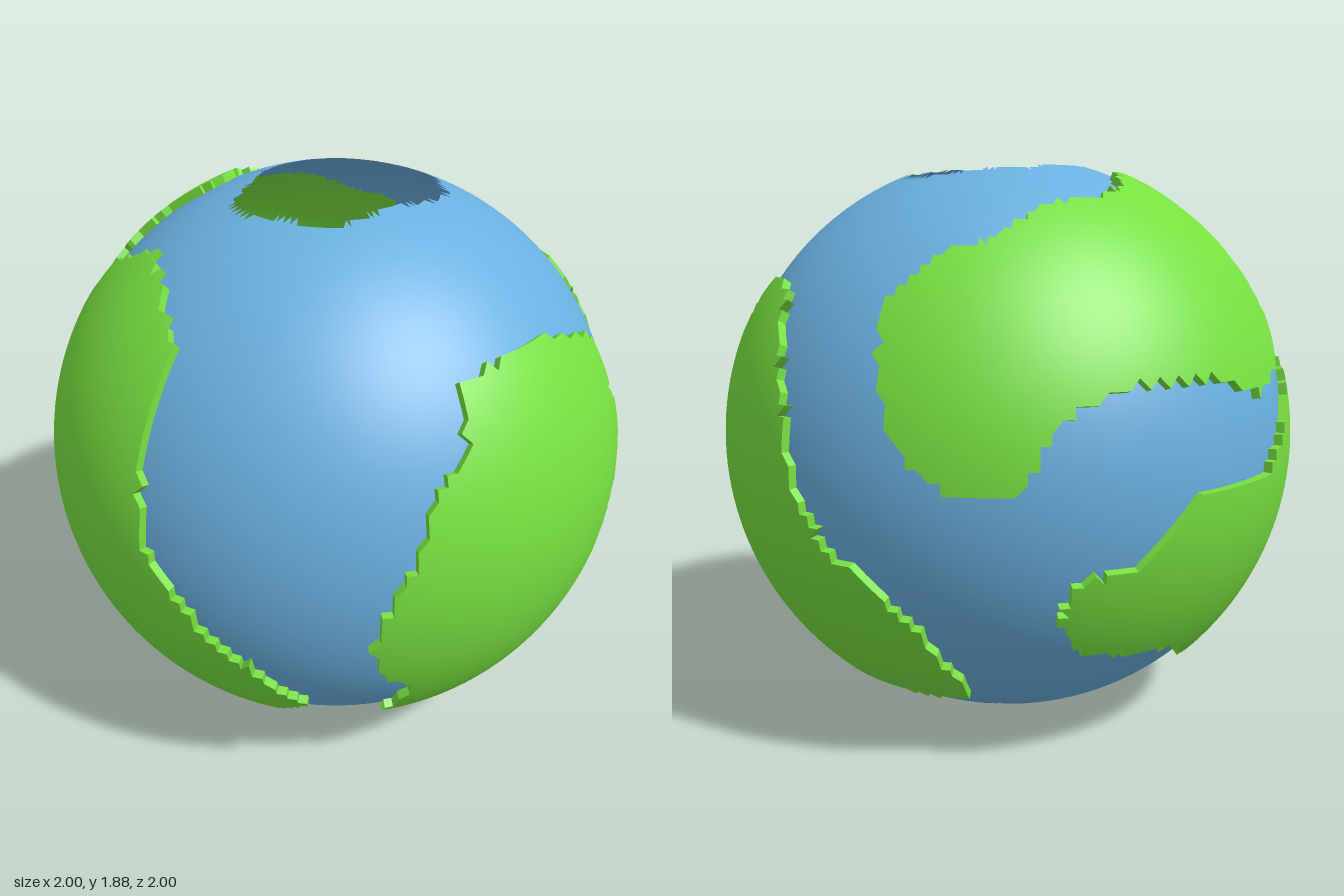
import * as THREE from 'three';

const SEA = 0.972, LAND = 1.0, CENTRE_Y = 0.938;
const RAD = Math.PI / 180;

// Lift flat outline points onto the unit sphere, facing the given direction.
function lift(azimuth, elevation, pairs, cx = 0, cy = 0, scale = 1, flip = 1) {
  const a = azimuth * RAD, e = elevation * RAD;
  const s = new THREE.Vector3(Math.sin(a), 0, Math.cos(a));
  const right = new THREE.Vector3(s.z, 0, -s.x);
  const up = s.clone().multiplyScalar(-Math.sin(e)).setY(Math.cos(e));
  const out = s.clone().multiplyScalar(Math.cos(e)).setY(Math.sin(e));
  return pairs.map(([px, py]) => {
    const u = (px - cx) / scale, v = flip * (py - cy) / scale;
    const w = Math.sqrt(Math.max(0, 1 - u * u - v * v));
    return new THREE.Vector3().addScaledVector(right, u).addScaledVector(up, v)
      .addScaledVector(out, w).normalize();
  });
}
const front = (p) => lift(0, 0, p, 0, 0.94);
const side = (p) => lift(90, 0, p.map(([z, y]) => [-z, y]), 0, 0.94);
const above = (p) => lift(0, 90, p, 0, 0, 1, -1);
const below = (p) => lift(0, -90, p);
const backHigh = (p) => lift(215, 25, p, 686, 671.5, 181, -1);
const backLow = (p) => lift(138, -28, p, 1133, 674, 185, -1);

// Returns a test for directions inside a closed outline on the sphere.
function region(points) {
  const c = points.reduce((sum, p) => sum.add(p), new THREE.Vector3()).normalize();
  const t = new THREE.Vector3(0.31, 0.5, 0.81).cross(c).normalize();
  const b = c.clone().cross(t);
  const flat = (p) => { const k = 1 + p.dot(c); return [p.dot(t) / k, p.dot(b) / k]; };
  const poly = points.map(flat);
  return (p) => {
    if (p.dot(c) < -0.5) return false;
    const [x, y] = flat(p);
    let inside = false;
    for (let i = 0, j = poly.length - 1; i < poly.length; j = i++) {
      const [xi, yi] = poly[i], [xj, yj] = poly[j];
      if ((yi > y) !== (yj > y) && x < ((xj - xi) * (y - yi)) / (yj - yi) + xi) inside = !inside;
    }
    return inside;
  };
}

const continents = {
  frontContinent: region(front([
    [-0.38, 1.54], [-0.2, 1.56], [-0.02, 1.57], [0.1, 1.53], [0.25, 1.48], [0.31, 1.42], [0.31, 1.27],
    [0.38, 1.15], [0.3, 0.96], [0.26, 0.95], [0.18, 0.8], [0.16, 0.67], [0.02, 0.43], [0.04, 0.3],
    [0, 0.14], [-0.12, 0.14], [-0.3, 0.19], [-0.5, 0.28], [-0.55, 0.45], [-0.56, 0.53], [-0.67, 0.62],
    [-0.72, 0.75], [-0.71, 0.9], [-0.63, 1.1], [-0.55, 1.28], [-0.44, 1.37]])),
  leftContinent: region(side([
    [0.47, 1.51], [0.38, 1.51], [0.3, 1.48], [0.22, 1.29], [0.14, 1.1], [0.12, 0.97], [0.05, 0.82],
    [-0.05, 0.7], [-0.14, 0.67], [-0.2, 0.55], [-0.27, 0.48], [-0.28, 0.38], [-0.31, 0.28],
    [-0.27, 0.19], [-0.15, 0.17], [0, 0.18], [0.2, 0.18], [0.45, 0.2], [0.6, 0.24], [0.7, 0.31],
    [0.72, 0.38], [0.72, 0.6], [0.7, 0.8], [0.7, 1.05], [0.63, 1.28], [0.54, 1.43]])),
  upperBackContinent: region([
    ...above([[-0.28, -0.65], [-0.2, -0.58], [-0.18, -0.47], [-0.1, -0.4], [0, -0.43], [0.08, -0.5],
      [0.25, -0.51], [0.4, -0.43], [0.62, -0.36], [0.7, -0.25], [0.83, -0.15]]),
    ...side([[-0.17, 1.35], [-0.2, 1.25], [-0.25, 1.12], [-0.32, 1.02], [-0.43, 0.95], [-0.6, 0.95],
      [-0.64, 1.06], [-0.68, 1.15], [-0.78, 1.23]]),
    ...backLow([[1210, 550]]),
    ...backHigh([[583, 695], [618, 690], [640, 668], [645, 650], [655, 640], [650, 628]])]),
  lowerBackContinent: region([
    ...backLow([[1122, 658], [1130, 635], [1165, 630], [1200, 600]]),
    ...backHigh([[585, 740], [630, 713], [690, 697], [697, 690], [688, 648], [697, 615], [727, 585],
      [760, 588], [795, 600], [808, 625], [825, 665], [835, 700], [852, 742]]),
    ...front([[-0.85, 0.55], [-0.73, 0.4], [-0.67, 0.22]]),
    ...backLow([[1225, 830], [1250, 810], [1262, 795], [1240, 750], [1220, 735], [1205, 708], [1138, 688]])]),
};

// Ragged openings at the two poles
const openings = [
  region(above([[-0.35, -0.1], [-0.3, -0.2], [-0.15, -0.24], [-0.03, -0.29], [0.1, -0.25], [0.22, -0.24],
    [0.3, -0.13], [0.36, -0.05], [0.39, 0.05], [0.36, 0.17], [0.28, 0.23], [0.22, 0.3], [0.08, 0.32],
    [-0.05, 0.28], [-0.2, 0.24], [-0.28, 0.2], [-0.32, 0.1]])),
  region(below([[0.4, 0.08], [0.42, -0.1], [0.4, -0.24], [0.25, -0.3], [0.05, -0.3], [-0.2, -0.3],
    [-0.34, -0.22], [-0.38, -0.05], [-0.35, 0.12], [-0.25, 0.23], [-0.1, 0.25], [0, 0.26],
    [0.2, 0.22], [0.33, 0.16]])),
];

// Smooth shell of the chosen triangles, with an optional wall down to the sea.
function shell(triangles, verts, radius, walled) {
  const pos = [], nor = [], edges = new Set();
  const put = (p, r, n) => { pos.push(p.x * r, p.y * r, p.z * r); nor.push(n.x, n.y, n.z); };
  for (const t of triangles) {
    t.forEach((id, k) => {
      put(verts[id], radius, verts[id]);
      edges.add(id + '_' + t[(k + 1) % 3]);
    });
  }
  if (walled) {
    for (const edge of edges) {
      const [i, j] = edge.split('_').map(Number);
      if (edges.has(j + '_' + i)) continue;
      const a = verts[i], b = verts[j];
      const n = b.clone().sub(a).cross(a).normalize();
      put(a, SEA, n); put(b, SEA, n); put(b, radius, n);
      put(a, SEA, n); put(b, radius, n); put(a, radius, n);
    }
  }
  const g = new THREE.BufferGeometry();
  g.setAttribute('position', new THREE.Float32BufferAttribute(pos, 3));
  g.setAttribute('normal', new THREE.Float32BufferAttribute(nor, 3));
  return g;
}

export function createModel() {
  const group = new THREE.Group();
  group.name = 'globe';

  // Latitude and longitude grid between the polar openings
  const cols = 180, rows = 76, maxLat = 78;
  const verts = [];
  for (let r = 0; r <= rows; r++) {
    const lat = (-maxLat + (2 * maxLat * r) / rows) * RAD;
    for (let c = 0; c < cols; c++) {
      const lon = (c / cols) * Math.PI * 2;
      verts.push(new THREE.Vector3(Math.cos(lat) * Math.sin(lon), Math.sin(lat), Math.cos(lat) * Math.cos(lon)));
    }
  }

  // Sort every triangle into sea, a continent or an opening
  const parts = { ocean: [] };
  for (const name in continents) parts[name] = [];
  const sort = (t) => {
    const mid = new THREE.Vector3();
    t.forEach((id) => mid.add(verts[id]));
    mid.normalize();
    if (openings.some((inside) => inside(mid))) return;
    const name = Object.keys(continents).find((key) => continents[key](mid)) || 'ocean';
    parts[name].push(t);
  };
  for (let r = 0; r < rows; r++) {
    for (let c = 0; c < cols; c++) {
      const a = r * cols + c, b = r * cols + ((c + 1) % cols), d = a + cols, e = b + cols;
      if ((r + c) % 2) { sort([a, b, e]); sort([a, e, d]); }
      else { sort([a, b, d]); sort([b, e, d]); }
    }
  }

  const blue = new THREE.MeshStandardMaterial({ color: 0x6ab0e0, side: THREE.DoubleSide });
  const green = new THREE.MeshStandardMaterial({ color: 0x77e040, side: THREE.DoubleSide });
  for (const name in parts) {
    const sea = name === 'ocean';
    const mesh = new THREE.Mesh(shell(parts[name], verts, sea ? SEA : LAND, !sea), sea ? blue : green);
    mesh.name = name;
    mesh.position.y = CENTRE_Y;
    group.add(mesh);
  }
  return group;
}
